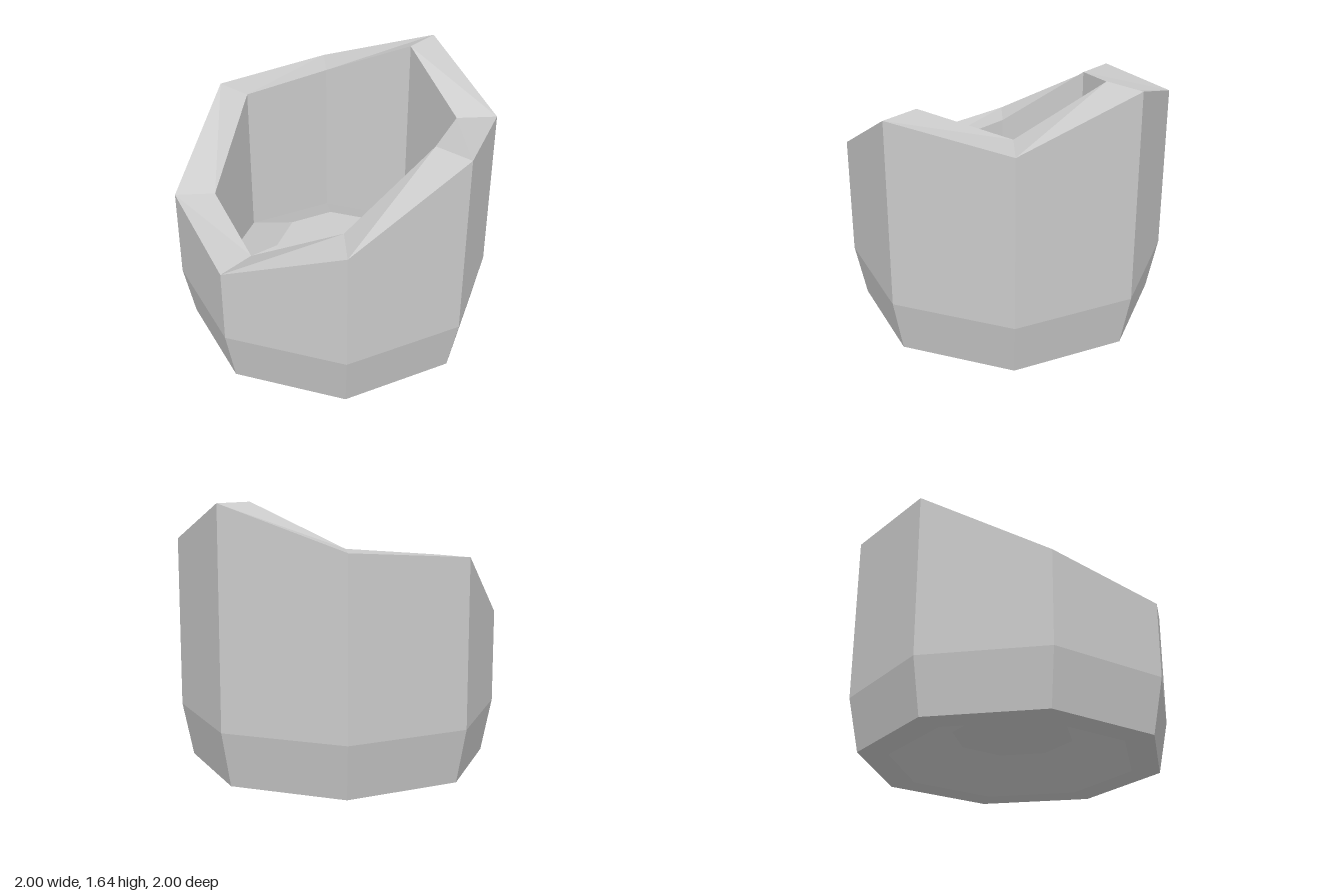
import * as THREE from 'three';

const SIDES = 8;
// Height of the broken rim at each corner, going from +x towards +z
const RIM = [1.64, 1.39, 1.495, 1.08, 0.8, 0.915, 1.335, 1.39];

// One octagonal cross-section; y is a number or one height per corner
function ring(radius, y) {
  return Array.from({ length: SIDES }, (_, i) => {
    const a = (i / SIDES) * Math.PI * 2;
    return [radius * Math.cos(a), Array.isArray(y) ? y[i] : y, radius * Math.sin(a)];
  });
}

// Faceted strip between two cross-sections; a zero radius makes a cap
function strip(a, b) {
  const pos = [];
  const isPoint = (r) => Math.hypot(r[0][0], r[0][2]) < 1e-6;
  for (let i = 0; i < SIDES; i++) {
    const j = (i + 1) % SIDES;
    if (!isPoint(a)) pos.push(...a[i], ...b[i], ...a[j]);
    if (!isPoint(b)) pos.push(...b[i], ...b[j], ...a[j]);
  }
  const geometry = new THREE.BufferGeometry();
  geometry.setAttribute('position', new THREE.Float32BufferAttribute(pos, 3));
  geometry.computeVertexNormals();
  return geometry;
}

export function createModel() {
  const group = new THREE.Group();
  group.name = 'brokenVessel';
  const grey = new THREE.MeshStandardMaterial({ color: 0xcccccc, flatShading: true });
  grey.name = 'plain grey';

  // Closed profile, from the underside centre round to the inner floor centre:
  // each entry is the part that ends at this cross-section
  const profile = [
    [null, 0, 0.167],
    ['undersideCentre', 0.375, 0.167],
    ['undersideRecess', 0.75, 0],
    ['footRing', 0.933, 0],
    ['taperedBase', 1, 0.333],
    ['outerWall', 1, RIM],
    ['brokenRim', 0.75, RIM],
    ['innerWall', 0.75, 0.333],
    ['floorSlope', 0.375, 0.5],
    ['floorCentre', 0, 0.5],
  ];
  for (let i = 1; i < profile.length; i++) {
    const [, r0, y0] = profile[i - 1];
    const [name, r1, y1] = profile[i];
    const mesh = new THREE.Mesh(strip(ring(r0, y0), ring(r1, y1)), grey);
    mesh.name = name;
    group.add(mesh);
  }
  return group;
}
